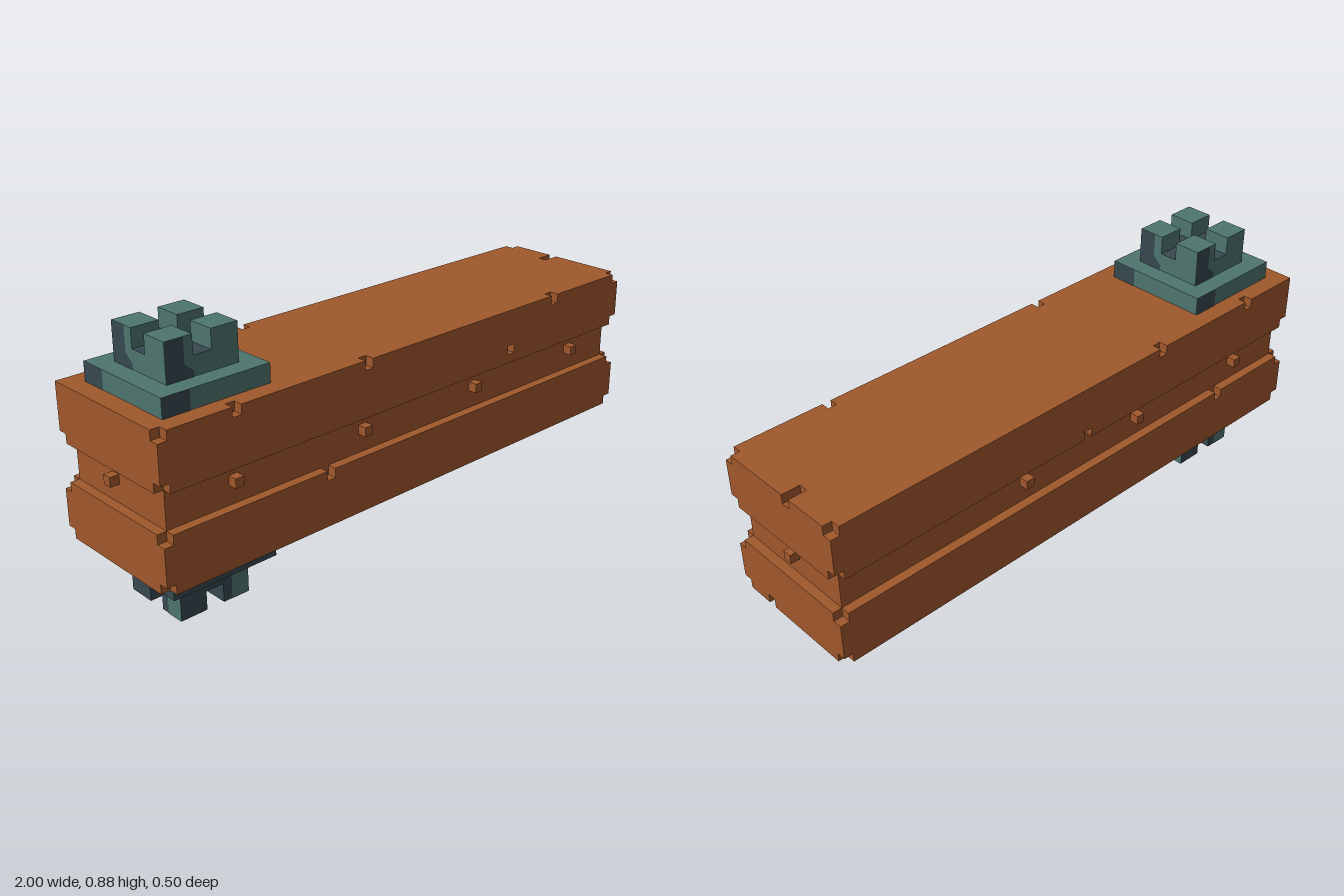
import * as THREE from 'three';

const U = 1 / 32; // one block of the grid

const wood = new THREE.MeshStandardMaterial({ color: 0xa0582c, name: 'wood' });
const green = new THREE.MeshStandardMaterial({ color: 0x4e756e, name: 'lightGreen' });
const slate = new THREE.MeshStandardMaterial({ color: 0x36494f, name: 'darkSlate' });

const key = (x, y, z) => `${x},${y},${z}`;

// Small studs standing in the groove
const studs = new Set([
  ...[-24, -8, 8, 24].map((x) => key(x, 14, 7)),
  ...[-24, -8, 8].map((x) => key(x, 14, -8)),
  key(-32, 14, -1), key(31, 14, -1),
]);

// Chips missing from the edges and faces of the beam
const chips = new Set([
  key(-24, 21, 7), key(-8, 21, 7), key(20, 21, 7), key(13, 17, 7), key(-13, 11, 7),
  key(-25, 21, -8), key(-11, 21, -8), key(0, 16, -8), key(-21, 11, -8),
  key(31, 21, -2), key(30, 21, -2), key(31, 6, 3),
]);
for (const x of [-32, 31]) for (const y of [6, 11, 16, 21]) for (const z of [-8, 7]) {
  chips.add(key(x, y, z));
}
chips.delete(key(-32, 21, -8));

// Beam: two slabs with a recessed band between them
function beamSolid([x, y, z]) {
  if (x < -32 || x > 31 || y < 6 || y > 21 || z < -8 || z > 7) return false;
  if (y >= 12 && y <= 15) {
    return (x > -32 && x < 31 && z > -8 && z < 7) || studs.has(key(x, y, z));
  }
  return !chips.has(key(x, y, z));
}

// Surface of a block solid, with faces merged into strips
function blockSurface(solid, min, max) {
  const pos = [], index = [];
  for (let d = 0; d < 3; d++) for (const s of [1, -1]) {
    const u = (d + 1) % 3, v = (d + 2) % 3;
    const c = [0, 0, 0];
    const open = () => {
      const n = [...c];
      n[d] += s;
      return solid(c) && !solid(n);
    };
    for (c[d] = min[d]; c[d] < max[d]; c[d]++) for (c[v] = min[v]; c[v] < max[v]; c[v]++) {
      let start = null;
      for (c[u] = min[u]; c[u] <= max[u]; c[u]++) {
        const on = c[u] < max[u] && open();
        if (on && start === null) start = c[u];
        if (!on && start !== null) {
          const b = pos.length / 3;
          for (const [a, e] of [[start, 0], [c[u], 0], [c[u], 1], [start, 1]]) {
            const p = [0, 0, 0];
            p[d] = c[d] + (s > 0 ? 1 : 0);
            p[u] = a;
            p[v] = c[v] + e;
            pos.push(...p);
          }
          if (s > 0) index.push(b, b + 1, b + 2, b, b + 2, b + 3);
          else index.push(b, b + 2, b + 1, b, b + 3, b + 2);
          start = null;
        }
      }
    }
  }
  const g = new THREE.BufferGeometry();
  g.setAttribute('position', new THREE.Float32BufferAttribute(pos, 3));
  g.setIndex(index);
  g.computeVertexNormals();
  return g;
}

// Box between two heights, with its own side, top and bottom colours
function box(name, w, y0, y1, side, top, bottom, x = 0, z = 0) {
  const lo = Math.min(y0, y1), hi = Math.max(y0, y1);
  const m = new THREE.Mesh(new THREE.BoxGeometry(w, hi - lo, w), [side, side, top, bottom, side, side]);
  m.position.set(x, (lo + hi) / 2, z);
  m.name = name;
  return m;
}

// The same painted patch on all four sides of a square block
function patches(name, points, half, mat) {
  const g = new THREE.Group();
  g.name = name;
  const shape = new THREE.Shape(points.map(([x, y]) => new THREE.Vector2(x, y)));
  const geo = new THREE.ShapeGeometry(shape).translate(0, 0, half + 0.05);
  for (let k = 0; k < 4; k++) {
    const m = new THREE.Mesh(geo, mat);
    m.rotation.y = (k * Math.PI) / 2;
    m.name = name;
    g.add(m);
  }
  return g;
}

// Stepped knob with a cross-shaped slot, pointing up (s = 1) or down (s = -1)
function knob(name, s, side) {
  const g = new THREE.Group();
  g.name = name;
  const h = (t) => 14 + s * t;
  g.add(box('knobPlate', 12, h(8), h(10), side, green, green));
  g.add(box('knobBlock', 8, h(10), h(12), side, slate, slate));
  for (const x of [-2.5, 2.5]) for (const z of [-2.5, 2.5]) {
    g.add(box('knobPost', 3, h(12), h(14), side, green, green, x, z));
  }
  g.position.x = -24;
  return g;
}

export function createModel() {
  const model = new THREE.Group();
  model.name = 'beamWithKnobs';

  const beam = new THREE.Mesh(blockSurface(beamSolid, [-32, 6, -8], [32, 22, 8]), wood);
  beam.name = 'beam';

  const topKnob = knob('topKnob', 1, green);
  topKnob.add(patches('platePatch', [[-6, 22], [-3, 22], [-3, 24], [-6, 24]], 6, slate));
  topKnob.add(patches('blockPatch',
    [[-4, 24], [-1, 24], [-1, 24.6], [-2, 25.4], [-2, 28], [-4, 28]], 4, slate));

  const bottomKnob = knob('bottomKnob', -1, slate);
  bottomKnob.add(patches('blockPatch', [[2, 0], [4, 0], [4, 3], [2.6, 3], [2, 2.5]], 4, green));

  model.add(beam, topKnob, bottomKnob);
  model.scale.setScalar(U);
  const root = new THREE.Group();
  root.name = 'model';
  root.add(model);
  return root;
}
